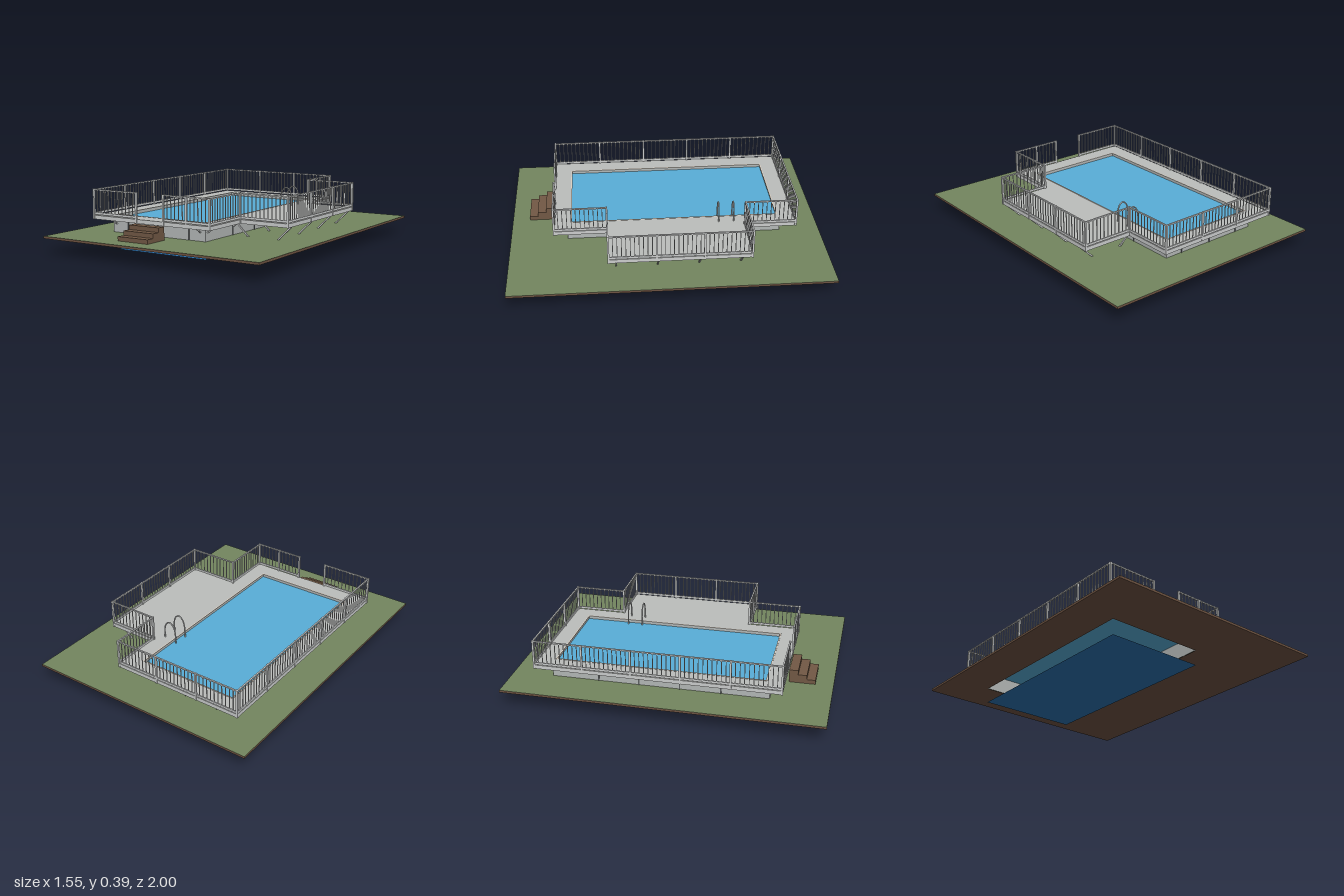
import * as THREE from 'three';

const mat = (name, color, side = THREE.FrontSide) => {
  const m = new THREE.MeshStandardMaterial({ color, side });
  m.name = name;
  return m;
};

export function createModel() {
  const model = new THREE.Group();
  model.name = 'poolWithDeck';
  const grass = mat('grass green', 0x73865f);
  const earth = mat('earth brown', 0x6e5342);
  const wood = mat('step brown', 0x725945);
  const deckGrey = mat('deck grey', 0xbcbebc);
  const wallGrey = mat('wall grey', 0xb4b8b7, THREE.DoubleSide);
  const railGrey = mat('rail grey', 0xcccece);
  const darkMetal = mat('dark metal', 0x5c5f61);
  const copingCream = mat('coping cream', 0xdccfc0);
  const waterBlue = mat('water blue', 0x58aed8, THREE.DoubleSide);
  const floorBlue = mat('floor blue', 0x2a70ae, THREE.DoubleSide);

  const add = (parent, name, geo, material) => {
    const mesh = new THREE.Mesh(geo, material);
    mesh.name = name;
    parent.add(mesh);
    return mesh;
  };
  const group = (name) => {
    const g = new THREE.Group();
    g.name = name;
    model.add(g);
    return g;
  };
  // box given by its limits on each axis
  const span = (parent, name, x0, x1, y0, y1, z0, z1, material) => {
    const mesh = add(parent, name, new THREE.BoxGeometry(x1 - x0, y1 - y0, z1 - z0), material);
    mesh.position.set((x0 + x1) / 2, (y0 + y1) / 2, (z0 + z1) / 2);
    return mesh;
  };
  // square bar between two points
  const bar = (parent, name, a, b, w, h, material) => {
    const p = new THREE.Vector3(...a), q = new THREE.Vector3(...b);
    const mesh = add(parent, name, new THREE.BoxGeometry(w, h, p.distanceTo(q)), material);
    mesh.position.copy(p).lerp(q, 0.5);
    mesh.lookAt(q);
    return mesh;
  };
  const rect = (x0, x1, z0, z1) => [[x0, z0], [x1, z0], [x1, z1], [x0, z1]];
  // horizontal slab from an outline in x, z with one hole
  const slab = (name, outline, hole, y0, y1, material) => {
    const pts = (list) => list.map(([x, z]) => new THREE.Vector2(x, -z));
    const shape = new THREE.Shape(pts(outline));
    shape.holes.push(new THREE.Path(pts(hole)));
    const geo = new THREE.ExtrudeGeometry(shape, { depth: y1 - y0, bevelEnabled: false });
    geo.rotateX(-Math.PI / 2);
    add(model, name, geo, material).position.y = y0;
  };

  // pool opening
  const [X0, X1, Z0, Z1] = [-0.5, 0.166, -0.72, 0.61];
  const cx = (X0 + X1) / 2, cz = (Z0 + Z1) / 2, pw = X1 - X0, pl = Z1 - Z0;
  const opening = (grow) => rect(X0 - grow, X1 + grow, Z0 - grow, Z1 + grow);

  // ground
  slab('earthSlab', rect(-0.776, 0.776, -1, 1), opening(0.002), 0.1, 0.114, earth);
  slab('lawn', rect(-0.776, 0.776, -1, 1), opening(0.002), 0.114, 0.115, grass);

  // sunken floor and water surface
  const flat = (name, y, material) => {
    const geo = new THREE.PlaneGeometry(pw, pl).rotateX(-Math.PI / 2);
    add(model, name, geo, material).position.set(cx, y, cz);
  };
  flat('poolFloor', 0, floorBlue);
  flat('waterSurface', 0.205, waterBlue);

  // liner from the ground up to the deck
  const liner = group('poolLiner');
  for (const [w, x, z, turn] of [
    [pw, cx, Z0, 0], [pw, cx, Z1, Math.PI], [pl, X0, cz, Math.PI / 2], [pl, X1, cz, -Math.PI / 2],
  ]) {
    const m = add(liner, 'linerWall', new THREE.PlaneGeometry(w, 0.125), wallGrey);
    m.position.set(x, 0.1625, z);
    m.rotation.y = turn;
  }

  // outer pool walls with ribs
  const walls = group('outerWalls');
  const [WX0, WX1, WZ0, WZ1] = [-0.52, 0.185, -0.74, 0.635];
  span(walls, 'wallFront', WX0, WX1, 0.115, 0.2, Z1 + 0.005, WZ1, wallGrey);
  span(walls, 'wallBack', WX0, WX1, 0.115, 0.2, WZ0, Z0 - 0.005, wallGrey);
  span(walls, 'wallRight', WX0, X0 - 0.005, 0.115, 0.2, WZ0, WZ1, wallGrey);
  span(walls, 'wallLeft', X1 + 0.005, WX1, 0.115, 0.2, WZ0, WZ1, wallGrey);
  for (const z of [0.335, 0.078, -0.18, -0.44])
    for (const x of [WX0, WX1])
      span(walls, 'rib', x - 0.004, x + 0.004, 0.115, 0.2, z - 0.004, z + 0.004, darkMetal);
  for (const x of [-0.4, -0.17, 0.063])
    for (const z of [WZ0, WZ1])
      span(walls, 'rib', x - 0.004, x + 0.004, 0.115, 0.2, z - 0.004, z + 0.004, darkMetal);

  // deck brackets and braces
  const supports = group('deckSupports');
  for (const z of [0.615, 0.335, 0.078, -0.18, -0.44, -0.71])
    for (const [x, s] of [[WX0, -1], [WX1, 1]])
      bar(supports, 'bracket', [x, 0.168, z], [x + s * 0.05, 0.2, z], 0.007, 0.007, railGrey);
  for (const x of [-0.49, 0.15])
    for (const [z, s] of [[WZ0, -1], [WZ1, 1]])
      bar(supports, 'bracket', [x, 0.168, z], [x, 0.2, z + s * 0.05], 0.007, 0.007, railGrey);
  for (const z of [-0.44, -0.18, 0.078, 0.335]) {
    bar(supports, 'brace', [0.3, 0.113, z], [0.21, 0.2, z], 0.009, 0.009, railGrey);
    bar(supports, 'brace', [0.51, 0.113, z], [0.6, 0.2, z], 0.009, 0.009, railGrey);
  }

  // deck with side terrace and pale edge boards, and coping around the water
  slab('deck', [[-0.61, 0.72], [0.272, 0.72], [0.272, 0.385], [0.607, 0.385], [0.607, -0.5],
    [0.272, -0.5], [0.272, -0.83], [-0.61, -0.83]], opening(0.002), 0.2, 0.225, [deckGrey, railGrey]);
  slab('coping', opening(0.003), opening(-0.005), 0.217, 0.227, copingCream);

  // railing runs: x, z of a corner and the number of bays to the next one
  const railing = group('railing');
  const post = (x, z) => span(railing, 'post', x - 0.006, x + 0.006, 0.2, 0.392, z - 0.006, z + 0.006, railGrey);
  const run = [
    [-0.272, 0.717, 1], [-0.607, 0.717, 5], [-0.607, -0.827, 3], [0.27, -0.827, 1],
    [0.27, -0.497, 1], [0.604, -0.497, 3], [0.604, 0.382, 1], [0.27, 0.382, 1],
    [0.27, 0.717, 2], [-0.065, 0.717, 0],
  ];
  run.forEach(([ax, az, bays], i) => {
    post(ax, az);
    if (!bays) return;
    const [bx, bz] = run[i + 1];
    const at = (t) => [ax + (bx - ax) * t, az + (bz - az) * t];
    bar(railing, 'topRail', [ax, 0.387, az], [bx, 0.387, bz], 0.009, 0.008, railGrey);
    bar(railing, 'bottomRail', [ax, 0.237, az], [bx, 0.237, bz], 0.008, 0.014, railGrey);
    for (let k = 1; k < bays; k++) post(...at(k / bays));
    const n = Math.round(Math.hypot(bx - ax, bz - az) / bays / 0.027) * bays;
    for (let k = 1; k < n; k++) {
      if (k % (n / bays) === 0) continue;
      const [x, z] = at(k / n);
      span(railing, 'baluster', x - 0.0022, x + 0.0022, 0.24, 0.385, z - 0.0022, z + 0.0022, railGrey);
    }
  });

  // entry steps
  const steps = group('entrySteps');
  for (const [z0, z1, y] of [[0.722, 0.778, 0.198], [0.778, 0.833, 0.17], [0.833, 0.887, 0.142]])
    span(steps, 'step', -0.28, -0.056, 0.115, y, z0, z1, wood);

  // pool ladder: two hooped rails and rungs
  const ladder = group('poolLadder');
  for (const z of [-0.335, -0.431]) {
    const curve = new THREE.CatmullRomCurve3([
      [0.228, 0.225], [0.228, 0.29], [0.215, 0.328], [0.19, 0.345], [0.163, 0.328], [0.148, 0.29],
      [0.143, 0.2], [0.143, 0.06], [0.146, 0.036], [0.158, 0.026],
    ].map(([x, y]) => new THREE.Vector3(x, y, z)));
    add(ladder, 'ladderRail', new THREE.TubeGeometry(curve, 48, 0.0045, 8), railGrey);
  }
  for (const y of [0.08, 0.155])
    span(ladder, 'rung', 0.133, 0.155, y - 0.003, y + 0.003, -0.431, -0.335, railGrey);

  return model;
}
